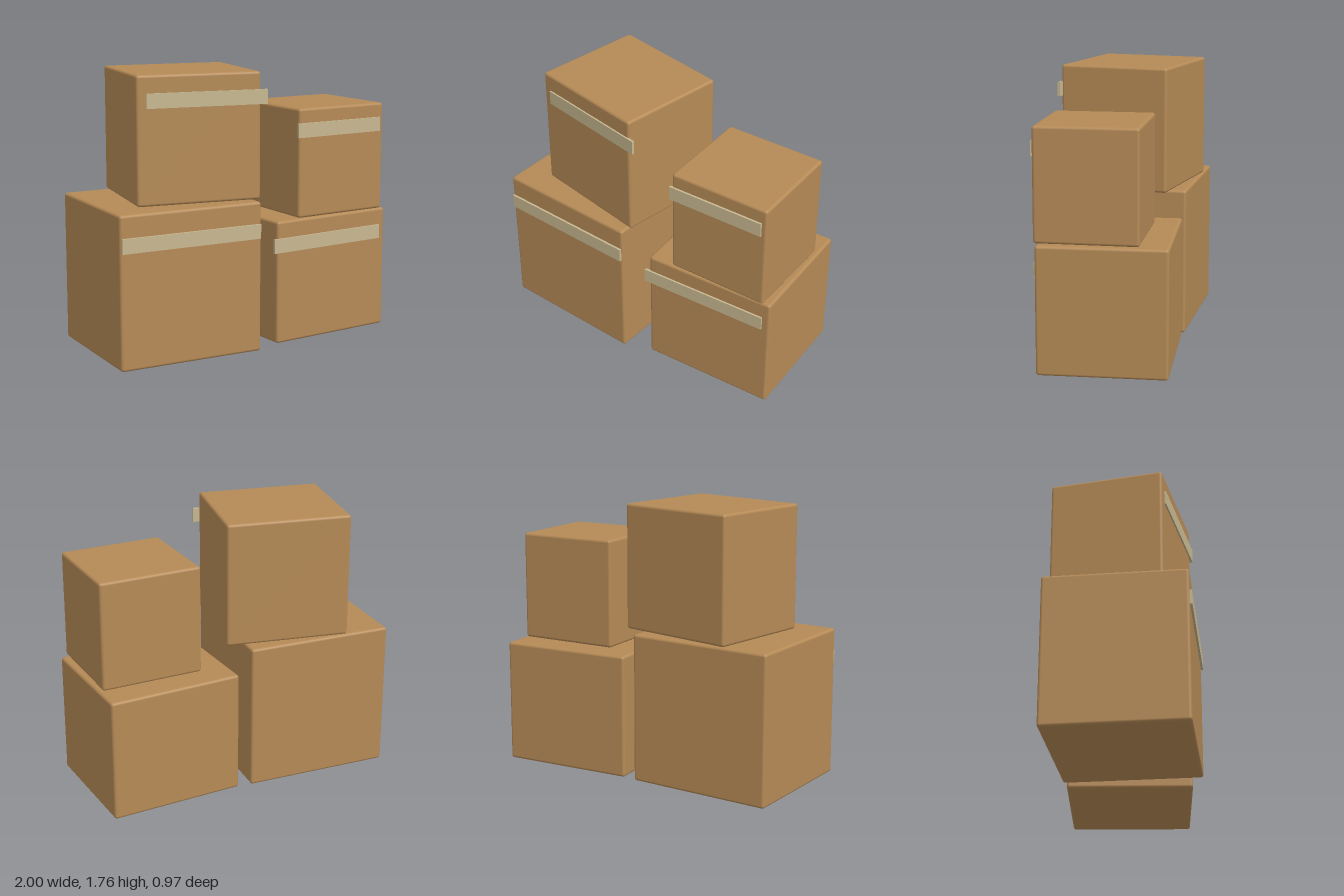
import * as THREE from 'three';
import { RoundedBoxGeometry } from 'three/addons/geometries/RoundedBoxGeometry.js';

const cardboard = new THREE.MeshStandardMaterial({ color: 0xb58a56 });
cardboard.name = 'cardboard';
const tapeColour = new THREE.MeshStandardMaterial({ color: 0xc8b890 });
tapeColour.name = 'packing tape';

// size and base centre of each carton, its turn about y, and its tape height
const cartons = [
  { name: 'lowerRightCarton', size: [0.96, 0.96, 0.88], at: [-0.52, 0, 0.033], turn: 0, tapeY: 0.775 },
  { name: 'lowerLeftCarton', size: [0.88, 0.8, 0.8], at: [0.52, 0, -0.045], turn: 0.1, tapeY: 0.645 },
  { name: 'upperRightCarton', size: [0.8, 0.8, 0.72], at: [-0.36, 0.963, 0.002], turn: -0.14, tapeY: 1.607 },
  { name: 'upperLeftCarton', size: [0.67, 0.704, 0.64], at: [0.6, 0.804, 0.034], turn: 0.07, tapeY: 1.37 },
];

function makeCarton({ name, size: [w, h, d], at: [x, y, z], turn, tapeY }) {
  const group = new THREE.Group();
  group.name = name;

  // softly rounded cardboard body
  const body = new THREE.Mesh(new RoundedBoxGeometry(w, h, d, 3, 0.018), cardboard);
  body.name = 'cartonBody';
  body.position.set(x, y + h / 2, z);
  body.rotation.y = turn;

  // tape strip, turned about its own centre so it slips slightly past the corner
  const tape = new THREE.Mesh(new THREE.BoxGeometry(w - 0.02, 0.092, 0.016), tapeColour);
  tape.name = 'tapeStrip';
  tape.position.set(x, tapeY, z + d / 2 + 0.006);
  tape.rotation.y = turn;

  group.add(body, tape);
  return group;
}

export function createModel() {
  const model = new THREE.Group();
  model.name = 'stackedCartons';
  for (const carton of cartons) model.add(makeCarton(carton));
  return model;
}
